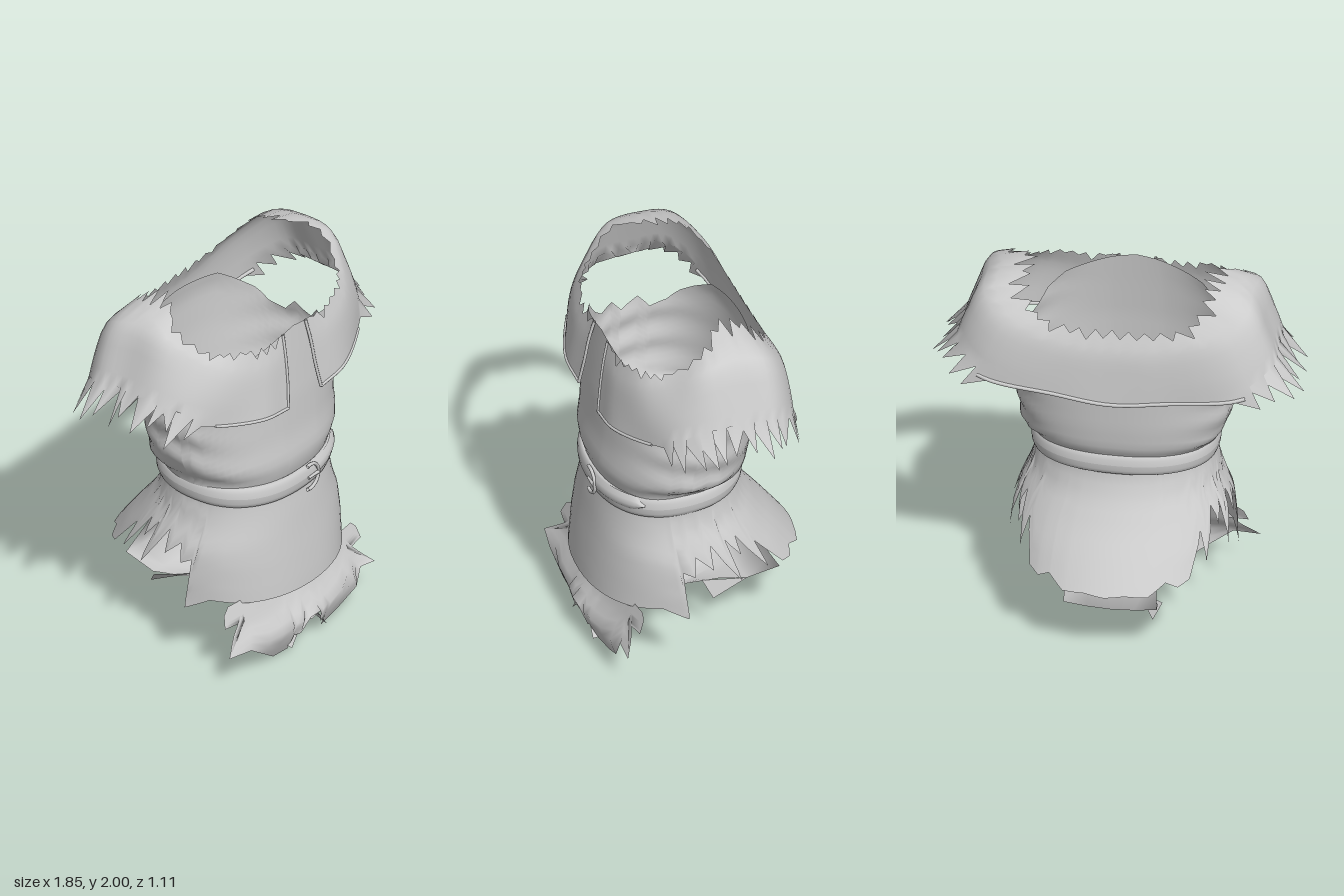
import * as THREE from 'three';

const V = (x, y, z) => new THREE.Vector3(x, y, z);
const cloth = new THREE.MeshStandardMaterial({ color: 0xcccccc, side: THREE.DoubleSide });
cloth.name = 'greyCloth';

// Small seeded random for the torn edges
let seed = 7;
const rnd = () => (seed = (seed * 16807) % 2147483647) / 2147483647;

// Linear lookup in a table of [key, ...values], keys ascending
function lookup(table, k) {
  let i = 0;
  while (i < table.length - 2 && k > table[i + 1][0]) i++;
  const a = table[i], b = table[i + 1];
  const t = THREE.MathUtils.clamp((k - a[0]) / (b[0] - a[0]), 0, 1);
  return a.slice(1).map((v, j) => v + (b[j + 1] - v) * t);
}

// Smooth skin over columns of points
function skin(columns, closed = false) {
  const rows = columns[0].length, n = columns.length, pos = [], idx = [];
  columns.forEach(c => c.forEach(p => pos.push(p.x, p.y, p.z)));
  for (let i = 0; i < (closed ? n : n - 1); i++) {
    for (let j = 0; j < rows - 1; j++) {
      const a = i * rows + j, b = ((i + 1) % n) * rows + j;
      idx.push(a, a + 1, b, b, a + 1, b + 1);
    }
  }
  const g = new THREE.BufferGeometry();
  g.setAttribute('position', new THREE.Float32BufferAttribute(pos, 3));
  g.setIndex(idx);
  g.computeVertexNormals();
  return g;
}

// Point on a rounded oval; angle 0 is the front, 90 the left side
function oval(deg, y, rx, zf, zb, backPower = 0.87) {
  const a = deg * Math.PI / 180, s = Math.sin(a), c = Math.cos(a);
  const power = c < 0 ? backPower : 0.87;
  const soft = v => Math.sign(v) * Math.abs(v) ** power;
  return V(rx * soft(s), y, (zf + zb) / 2 + (zf - zb) / 2 * soft(c));
}

// Garment tube: profile of [y, rx, zFront, zBack] with edges given by angle
function garment(profile, top, bottom, rows, wrinkle, backPower) {
  const angles = new Set();
  for (let d = 0; d <= 180; d += 5) angles.add(d);
  [...top, ...bottom].forEach(e => angles.add(e[0]));
  const half = [...angles].sort((a, b) => a - b);
  const all = [...half, ...half.slice(1, -1).reverse().map(d => -d)];
  return skin(all.map(d => {
    const y1 = lookup(top, Math.abs(d))[0], y0 = lookup(bottom, Math.abs(d))[0];
    return Array.from({ length: rows + 1 }, (_, j) => {
      const y = y1 + (y0 - y1) * j / rows;
      const [rx, zf, zb] = lookup(profile, y);
      const w = 1 + wrinkle * Math.sin(y * 38 + d * 0.05) * Math.sin(d * Math.PI / 180) ** 2;
      return oval(d, y, rx * w, zf, zb, backPower);
    });
  }), true);
}

export function createModel() {
  const model = new THREE.Group();
  const add = (name, geometry) => {
    const m = new THREE.Mesh(geometry, cloth);
    m.name = name;
    model.add(m);
    return m;
  };
  const piping = (name, pts, r) =>
    add(name, new THREE.TubeGeometry(new THREE.CatmullRomCurve3(pts), 60, r, 8));

  // Upper tunic with open armholes
  add('upperTunic', garment(
    [[0.95, 0.44, 0.45, -0.23], [1.02, 0.455, 0.47, -0.24], [1.06, 0.505, 0.48, -0.28],
      [1.2, 0.525, 0.46, -0.3], [1.4, 0.54, 0.45, -0.315], [1.6, 0.53, 0.43, -0.32], [1.78, 0.46, 0.41, -0.29]],
    [[0, 1.77], [12, 1.75], [40, 1.68], [60, 1.52], [70, 1.46], [78, 1.51], [86, 1.44], [95, 1.5],
      [103, 1.44], [115, 1.48], [125, 1.55], [150, 1.68], [180, 1.7]],
    [[0, 0.95], [180, 0.97]], 18, 0.018));

  // Flared skirt, torn at the sides
  add('skirt', garment(
    [[0.36, 0.565, 0.53, -0.59], [0.42, 0.56, 0.525, -0.55], [0.55, 0.55, 0.51, -0.45], [0.66, 0.525, 0.495, -0.36],
      [0.78, 0.465, 0.48, -0.28], [0.88, 0.445, 0.465, -0.24], [1, 0.44, 0.455, -0.23]],
    [[0, 0.95], [180, 0.98]],
    [[0, 0.355], [40, 0.37], [60, 0.39], [73, 0.33], [75, 0.6], [81, 0.57], [85, 0.67], [91, 0.59], [96, 0.71],
      [104, 0.49], [108, 0.71], [113, 0.61], [117, 0.7], [124, 0.48], [128, 0.62], [135, 0.44], [142, 0.42],
      [149, 0.45], [158, 0.4], [170, 0.41], [180, 0.4]], 14, 0.004, 1));

  // Belt, higher at the back
  const belt = [];
  for (let d = 0; d < 360; d += 5) {
    const yc = 0.95 - 0.028 * Math.cos(d * Math.PI / 180);
    belt.push(Array.from({ length: 13 }, (_, j) => {
      const f = j / 12 * Math.PI * 2, o = 0.022 * Math.cos(f);
      return oval(d, yc + 0.058 * Math.sin(f), 0.44 + o, 0.464 + o, -0.246 - o);
    }));
  }
  add('belt', skin(belt, true));

  // Belt tail lying over the strap
  const tail = [];
  for (let d = 8; d <= 56; d += 4) {
    const h = d > 46 ? 0.045 * (56 - d) / 10 + 0.004 : 0.045, y = 0.925 + d * 0.0005;
    tail.push([-1, -0.5, 0, 0.5, 1].map(k => oval(d, y + k * h, 0.472 - 0.02 * k * k, 0.493 - 0.02 * k * k, -0.26)));
  }
  add('beltTail', skin(tail));

  // Round buckle and its prong
  const ring = add('buckleRing', new THREE.TorusGeometry(0.068, 0.009, 8, 28, Math.PI * 1.2));
  ring.position.set(0.035, 0.915, 0.486);
  ring.rotation.z = -Math.PI * 0.6;
  const prong = add('buckleProng', new THREE.CylinderGeometry(0.007, 0.009, 0.08, 8));
  prong.position.set(0.06, 0.915, 0.489);
  prong.rotation.z = Math.PI / 2;

  // Shoulder mantle: each row holds neck, upper, middle and hem points for the left side
  const side = [
    [[0.09, 1.76, 0.415], [0.1, 1.65, 0.44], [0.11, 1.52, 0.46], [0.13, 1.385, 0.48]],
    [[0.25, 1.76, 0.405], [0.27, 1.65, 0.44], [0.29, 1.53, 0.46], [0.32, 1.41, 0.475]],
    [[0.4, 1.79, 0.36], [0.46, 1.7, 0.385], [0.52, 1.58, 0.385], [0.57, 1.455, 0.37]],
    [[0.5, 1.81, 0.28], [0.58, 1.78, 0.27], [0.66, 1.66, 0.27], [0.72, 1.5, 0.27]],
    [[0.56, 1.93, 0.12], [0.66, 1.89, 0.13], [0.73, 1.73, 0.13], [0.79, 1.55, 0.13]],
    [[0.41, 2.0, -0.04], [0.65, 1.92, -0.04], [0.735, 1.74, -0.05], [0.8, 1.56, -0.05]],
    [[0.43, 1.95, -0.17], [0.65, 1.88, -0.2], [0.735, 1.72, -0.21], [0.8, 1.55, -0.2]],
    [[0.37, 1.83, -0.28], [0.53, 1.77, -0.32], [0.6, 1.62, -0.34], [0.66, 1.48, -0.34]],
    [[0.2, 1.79, -0.31], [0.22, 1.68, -0.355], [0.24, 1.54, -0.37], [0.27, 1.43, -0.375]],
    [[0, 1.79, -0.31], [0, 1.67, -0.355], [0, 1.53, -0.37], [0, 1.4, -0.38]]];
  const mirrored = side.slice(0, -1).reverse().map(c => c.map(([x, y, z]) => [-x, y, z]));
  const ctrl = [...side, ...mirrored], spans = ctrl.length - 1, step = 5;
  const rails = [0, 1, 2, 3].map(r => new THREE.CatmullRomCurve3(ctrl.map(c => V(...c[r]))));
  const mantle = [], hem = [];
  for (let i = 0; i <= spans * step; i++) {
    const p = rails.map(r => r.getPoint(i / (spans * step)));
    const k = Math.min(i, spans * step - i) / step, s = Math.sign(p[3].x);
    hem.push(p[3].clone());
    // Torn neckline
    if (i % 2 === 0 && k > 0.2) p[0].lerp(p[1], 0.1 + 0.4 * rnd());
    const col = new THREE.CatmullRomCurve3(p).getPoints(9);
    // Long fringe on the shoulders
    if (k > 2.4 && k < 7.2) {
      const amount = i % 2 ? 0.4 + 0.7 * rnd() : -0.15 - 0.3 * rnd();
      col[9].add(V(s * 0.11 * amount, -0.09 * amount, (rnd() - 0.5) * 0.06));
    }
    mantle.push(col);
  }
  add('shoulderMantle', skin(mantle));

  // Rolled edges of the mantle
  const last = hem.length - 1, frontEnd = Math.round(2.2 * step), backStart = 7 * step;
  const edge = side[0].map(q => V(...q));
  for (const m of [1, -1]) {
    const flip = p => V(p.x * m, p.y, p.z);
    piping('flapEdge', edge.map(flip), 0.008);
    piping('frontHemRoll', hem.slice(0, frontEnd).map(flip), 0.008);
  }
  piping('backHemRoll', hem.slice(backStart, last - backStart + 1), 0.01);

  // Torn front cloth below the skirt, as [x, y] points along its lower edge
  const ragged = [[-0.53, 0.36], [-0.55, 0.3], [-0.42, 0.29], [-0.6, 0.18], [-0.46, 0.17], [-0.33, 0.08],
    [-0.22, 0], [-0.13, 0.01], [-0.13, 0.1], [-0.08, 0.09], [-0.04, 0.17], [0.04, 0.17], [0.08, 0.08],
    [0.11, 0.1], [0.13, 0.02], [0.28, 0.05], [0.4, 0.11], [0.44, 0.2], [0.55, 0.18], [0.41, 0.29],
    [0.53, 0.3], [0.52, 0.36]];
  const depth = [[0, 0.46], [0.08, 0.5], [0.17, 0.53], [0.25, 0.47], [0.4, 0.41]];
  add('frontCloth', skin(ragged.map(([x, y], i) => {
    const xt = (-0.5 + i / (ragged.length - 1)) * 0.98;
    return Array.from({ length: 9 }, (_, j) => {
      const t = j / 8, px = xt + (x - xt) * t, py = 0.39 + (y - 0.39) * t;
      const fold = 0.02 * Math.cos(Math.min(Math.abs(px) / 0.2, 1) * Math.PI / 2) * t;
      return V(px, py, lookup(depth, py)[0] + fold - 0.12 * px * px);
    });
  })));

  // Arched flaps folding inward between the legs
  for (const m of [1, -1]) {
    add('innerFold', skin([[0.04, 0.17, 0.04, 0.165], [0.09, 0.1, 0.1, 0.13], [0.14, 0.03, 0.17, 0.08]].map(
      ([xf, yf, xb, yb]) => [0, 0.5, 1].map(t =>
        V(m * (xf + (xb - xf) * t), yf + (yb - yf) * t, 0.51 - 0.2 * t)))));
  }

  // Narrow strip between the legs widening into the back panel: [y, z, xRight, xLeft]
  const strip = [[0.16, 0.53, -0.06, 0.05], [0.165, 0.3, -0.06, 0.03], [0.18, 0, -0.03, 0.07], [0.19, -0.16, -0.14, 0.1],
    [0.21, -0.28, -0.22, 0.17], [0.275, -0.43, -0.24, 0.22], [0.45, -0.33, -0.22, 0.22], [0.66, -0.22, -0.2, 0.2]];
  add('underStrip', skin(strip.map(([y, z, a, b]) =>
    [0, 0.25, 0.5, 0.75, 1].map(t => V(a + (b - a) * t, y - 0.02 * Math.sin(t * Math.PI), z)))));

  // Loose shreds hanging from the strip
  const shreds = [[V(-0.24, 0.21, -0.26), V(-0.1, 0.19, -0.14), V(-0.2, 0.14, -0.31)],
    [V(0.17, 0.21, -0.28), V(0.08, 0.185, -0.08), V(0.13, 0.1, -0.12)]];
  shreds.forEach(([a, b, c]) => add('looseShred', skin([[a, c], [b, c.clone().lerp(b, 0.1)]])));

  return model;
}
